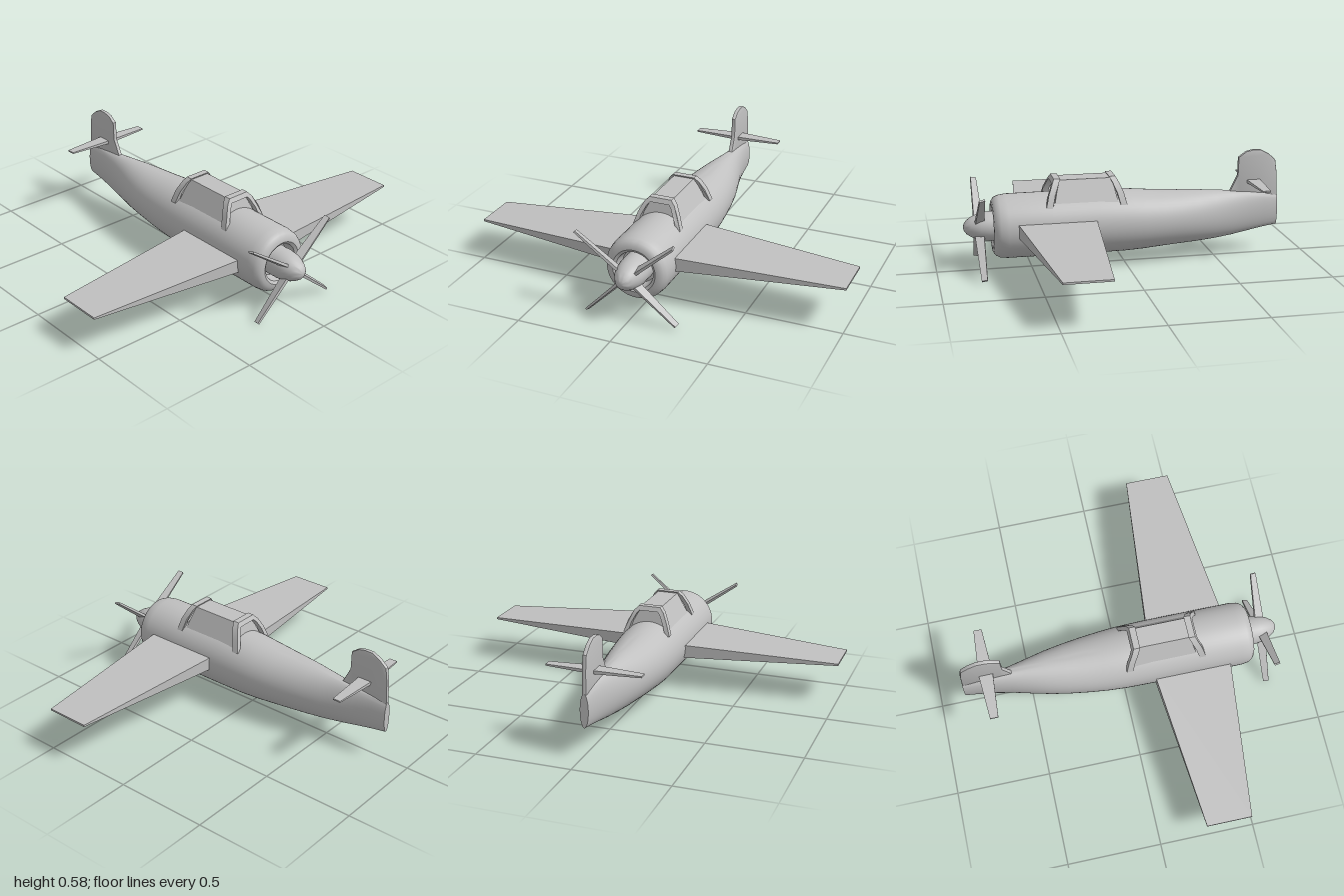
import * as THREE from 'three';
import { toCreasedNormals } from 'three/addons/utils/BufferGeometryUtils.js';

const CX = -0.01; // fuselage centre line
const HUB_Y = 0.235;

// Elliptical loft along z; each section is [z, halfWidth, top, bottom]
function loft(sections, sides) {
  const pos = [], index = [];
  sections.forEach(([z, w, top, bottom], i) => {
    for (let j = 0; j < sides; j++) {
      const a = (j / sides) * Math.PI * 2;
      pos.push(CX + w * Math.cos(a), (top + bottom) / 2 + ((top - bottom) / 2) * Math.sin(a), z);
      if (i === sections.length - 1) continue;
      const k = (j + 1) % sides, p = i * sides, q = p + sides;
      if (w > 0) index.push(p + j, q + j, p + k);
      if (sections[i + 1][1] > 0) index.push(q + j, q + k, p + k);
    }
  });
  const g = new THREE.BufferGeometry();
  g.setAttribute('position', new THREE.Float32BufferAttribute(pos, 3));
  g.setIndex(index);
  return toCreasedNormals(g, 0.6);
}

// Tapered box running along x, from root to tip rectangles {x, y, z0, z1, t}
function taperedPanel(root, tip) {
  const g = new THREE.BoxGeometry(1, 1, 1).toNonIndexed();
  const p = g.attributes.position;
  for (let i = 0; i < p.count; i++) {
    const atTip = (p.getX(i) > 0) === (tip.x > root.x);
    const e = atTip ? tip : root;
    p.setXYZ(i, e.x, e.y + p.getY(i) * e.t, p.getZ(i) > 0 ? e.z1 : e.z0);
  }
  g.computeVertexNormals();
  return g;
}

export function createModel() {
  const model = new THREE.Group();
  model.name = 'propellerPlane';
  const grey = new THREE.MeshStandardMaterial({ color: 0xc0c0c0 });
  grey.name = 'plainGrey';
  const add = (name, geometry, parent = model) => {
    const mesh = new THREE.Mesh(geometry, grey);
    mesh.name = name;
    parent.add(mesh);
  };

  // Fuselage with recessed engine opening and flat tail end
  add('fuselage', loft([
    [0.64, 0, 0.232, 0.232], [0.64, 0.09, 0.322, 0.142], [0.695, 0.1, 0.332, 0.132],
    [0.705, 0.115, 0.347, 0.117], [0.703, 0.135, 0.367, 0.095], [0.69, 0.153, 0.386, 0.078],
    [0.67, 0.164, 0.395, 0.067], [0.63, 0.17, 0.401, 0.062], [0.4, 0.17, 0.402, 0.061],
    [0.15, 0.17, 0.402, 0.061], [0, 0.167, 0.397, 0.062], [-0.1, 0.16, 0.388, 0.067],
    [-0.2, 0.149, 0.38, 0.075], [-0.3, 0.134, 0.375, 0.082], [-0.4, 0.115, 0.371, 0.088],
    [-0.5, 0.089, 0.365, 0.096], [-0.6, 0.062, 0.357, 0.109], [-0.7, 0.042, 0.35, 0.128],
    [-0.78, 0.031, 0.342, 0.143], [-0.855, 0.022, 0.33, 0.155], [-0.855, 0, 0.243, 0.243],
  ], 48));

  // Main wings and tailplanes, with the slight offset between the two wings
  for (const s of [1, -1]) {
    const y = 0.2275 + s * 0.0125, dz = s * 0.007;
    add(s > 0 ? 'leftWing' : 'rightWing', taperedPanel(
      { x: CX + s * 0.12, y, z0: 0.16 + dz, z1: 0.578 + dz, t: 0.074 },
      { x: s, y, z0: 0.245 + dz, z1: 0.483 + dz, t: 0.01 }));
    add(s > 0 ? 'leftTailplane' : 'rightTailplane', taperedPanel(
      { x: CX, y: 0.405, z0: -0.757, z1: -0.682, t: 0.018 },
      { x: CX + s * 0.247, y: 0.405, z0: -0.74, z1: -0.697, t: 0.008 }));
  }

  // Vertical fin: side outline drawn with (-z, y), then turned upright
  const outline = [[0.56, 0.33], [0.59, 0.36], [0.63, 0.44], [0.633, 0.54], [0.675, 0.57],
    [0.71, 0.578], [0.755, 0.578], [0.8, 0.555], [0.84, 0.52], [0.85, 0.45], [0.855, 0.3], [0.65, 0.27]];
  const finShape = new THREE.Shape(outline.map(([z, y]) => new THREE.Vector2(z, y)));
  const fin = new THREE.ExtrudeGeometry(finShape, {
    depth: 0.012, bevelThickness: 0.005, bevelSize: 0.006, bevelOffset: -0.006, bevelSegments: 2,
  });
  fin.translate(0, 0, -0.006).rotateY(Math.PI / 2).translate(CX, 0, 0);
  add('tailFin', toCreasedNormals(fin, 0.5));

  // Canopy body: box narrowed toward the top
  const canopy = new THREE.Group();
  canopy.name = 'canopy';
  model.add(canopy);
  const glass = new THREE.BoxGeometry(1, 1, 1).toNonIndexed();
  const gp = glass.attributes.position;
  for (let i = 0; i < gp.count; i++) {
    const top = gp.getY(i) > 0, front = gp.getZ(i) > 0;
    gp.setXYZ(i, CX + Math.sign(gp.getX(i)) * (top ? 0.055 : 0.118), top ? 0.477 : 0.34,
      front ? (top ? 0.355 : 0.39) : (top ? 0.075 : 0.045));
  }
  glass.computeVertexNormals();
  add('canopyGlass', glass, canopy);

  // Arched canopy frames, bowed toward the middle as they rise
  const outer = [[0.13, 0.345], [0.108, 0.41], [0.083, 0.46], [0.06, 0.485]];
  const inner = [[0.052, 0.462], [0.066, 0.445], [0.088, 0.4], [0.105, 0.345]];
  const mirrored = (points) => points.map(([x, y]) => [-x, y]).reverse();
  const arch = [...outer, ...mirrored(outer), ...mirrored(inner), ...inner];
  const archShape = new THREE.Shape(arch.map(([x, y]) => new THREE.Vector2(x, y)));
  for (const [name, z, s] of [['frontCanopyFrame', 0.415, 1], ['rearCanopyFrame', 0.022, -1]]) {
    const g = new THREE.ExtrudeGeometry(archShape, { depth: 0.034, bevelEnabled: false });
    const p = g.attributes.position;
    for (let i = 0; i < p.count; i++) {
      const rise = Math.max(0, (p.getY(i) - 0.345) / 0.14);
      p.setXYZ(i, p.getX(i) + CX, p.getY(i), p.getZ(i) - 0.017 + z - s * 0.05 * Math.pow(rise, 1.5));
    }
    add(name, toCreasedNormals(g, 0.5), canopy);
  }

  // Propeller hub and pointed spinner
  const propeller = new THREE.Group();
  propeller.name = 'propeller';
  propeller.position.set(CX, HUB_Y, 0);
  model.add(propeller);
  const profile = [[0, 0.63], [0.078, 0.63], [0.078, 0.72], [0.072, 0.765], [0.064, 0.79],
    [0.052, 0.815], [0.036, 0.838], [0.018, 0.851], [0, 0.855]];
  const spinner = new THREE.LatheGeometry(profile.map(([r, z]) => new THREE.Vector2(r, z)), 32);
  add('spinner', toCreasedNormals(spinner.rotateX(Math.PI / 2), 0.6), propeller);

  // Four steep-pitched blades: [angle in degrees, length]
  for (const [deg, length] of [[145, 0.34], [40, 0.315], [-40, 0.335], [-135, 0.32]]) {
    const blade = taperedPanel(
      { x: 0.03, y: 0, z0: -0.025, z1: 0.025, t: 0.016 },
      { x: length, y: 0, z0: -0.015, z1: 0.015, t: 0.01 });
    blade.rotateX(0.25).rotateZ((deg * Math.PI) / 180).translate(0, 0, 0.772);
    add('propellerBlade', blade, propeller);
  }

  return model;
}
